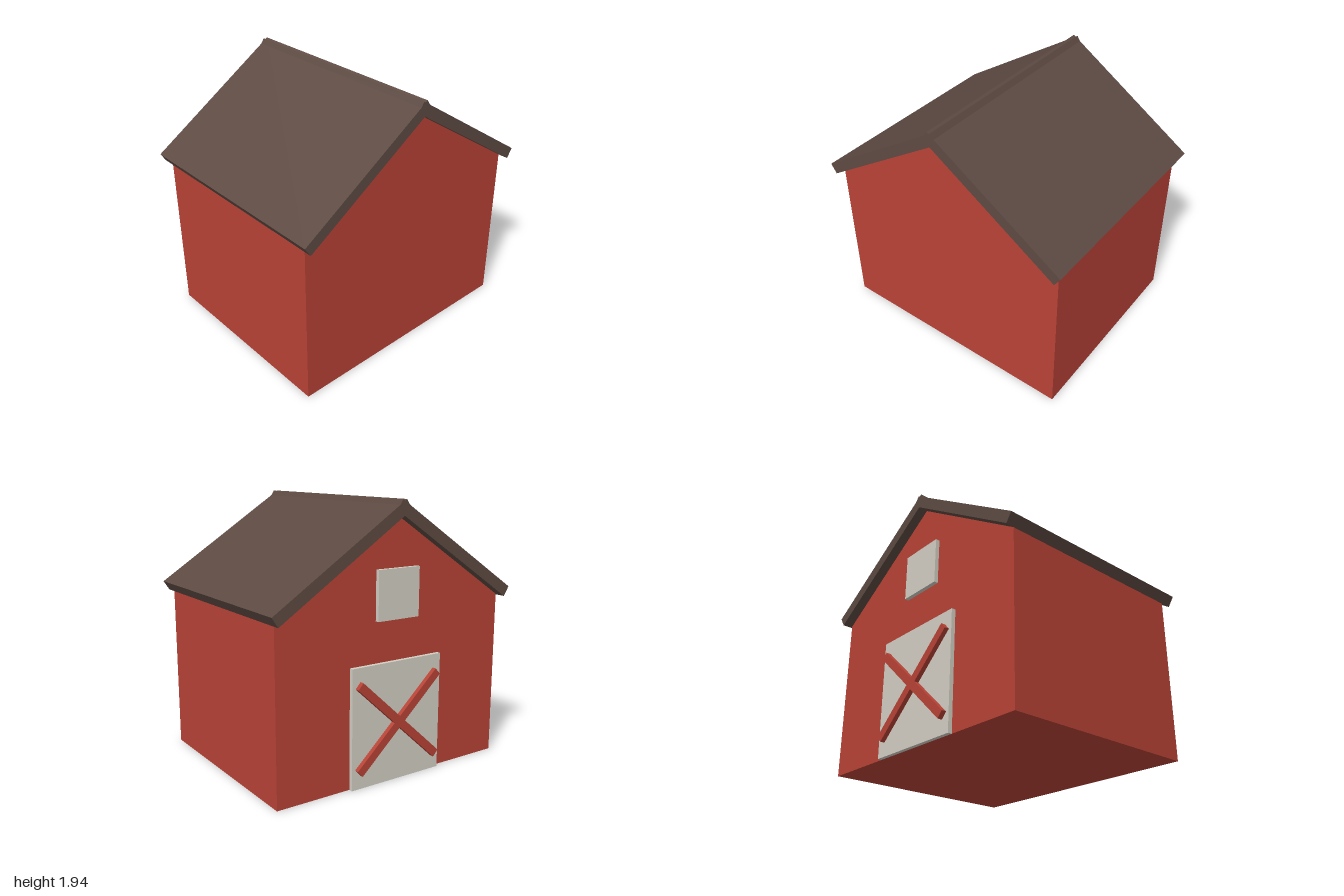
import * as THREE from 'three';

const material = (name, color) => {
  const m = new THREE.MeshStandardMaterial({ color });
  m.name = name;
  return m;
};

export function createModel() {
  const barn = new THREE.Group();
  barn.name = 'barn';
  const red = material('barn red', 0xb84236);
  const brown = material('roof brown', 0x5d4a42);
  const pale = material('pale trim', 0xd2cec3);

  const add = (name, geometry, mat, x = 0, y = 0, z = 0, turn = 0) => {
    const mesh = new THREE.Mesh(geometry, mat);
    mesh.name = name;
    mesh.position.set(x, y, z);
    mesh.rotation.z = turn;
    barn.add(mesh);
    return mesh;
  };

  // Gabled body
  const halfWidth = 0.945, halfDepth = 0.757, eave = 1.214, apex = 1.829;
  const gable = new THREE.Shape([
    new THREE.Vector2(-halfWidth, 0),
    new THREE.Vector2(halfWidth, 0),
    new THREE.Vector2(halfWidth, eave),
    new THREE.Vector2(0, apex),
    new THREE.Vector2(-halfWidth, eave),
  ]);
  const body = new THREE.ExtrudeGeometry(gable, { depth: halfDepth * 2, bevelEnabled: false });
  add('walls', body, red, 0, 0, -halfDepth);

  // Two roof slabs that cross slightly at the ridge
  const pitch = Math.atan2(apex - eave, halfWidth);
  const thickness = 0.081, overlap = 0.016;
  const length = (1 + overlap) / Math.cos(pitch);
  const ridgeY = apex + thickness / Math.cos(pitch) + overlap * Math.tan(pitch);
  const slab = new THREE.BoxGeometry(length, thickness, 1.656);
  for (const side of [1, -1]) {
    const x = -overlap + (length * Math.cos(pitch) - thickness * Math.sin(pitch)) / 2;
    const y = ridgeY - (length * Math.sin(pitch) + thickness * Math.cos(pitch)) / 2;
    add(side > 0 ? 'leftRoof' : 'rightRoof', slab, brown, side * x, y, 0, -side * pitch);
  }

  // Door and loft hatch on the back wall
  const trim = 0.03, trimZ = -halfDepth - trim / 2;
  add('door', new THREE.BoxGeometry(0.76, 0.852, trim), pale, 0, 0.426, trimZ);
  add('loftHatch', new THREE.BoxGeometry(0.345, 0.345, trim), pale, 0, 1.313, trimZ);

  // Crossed door braces
  const brace = new THREE.BoxGeometry(0.907, 0.06, 0.033);
  for (const side of [1, -1]) {
    add('doorBrace', brace, red, 0, 0.428, -halfDepth - trim - 0.0165, side * 0.74);
  }

  return barn;
}
